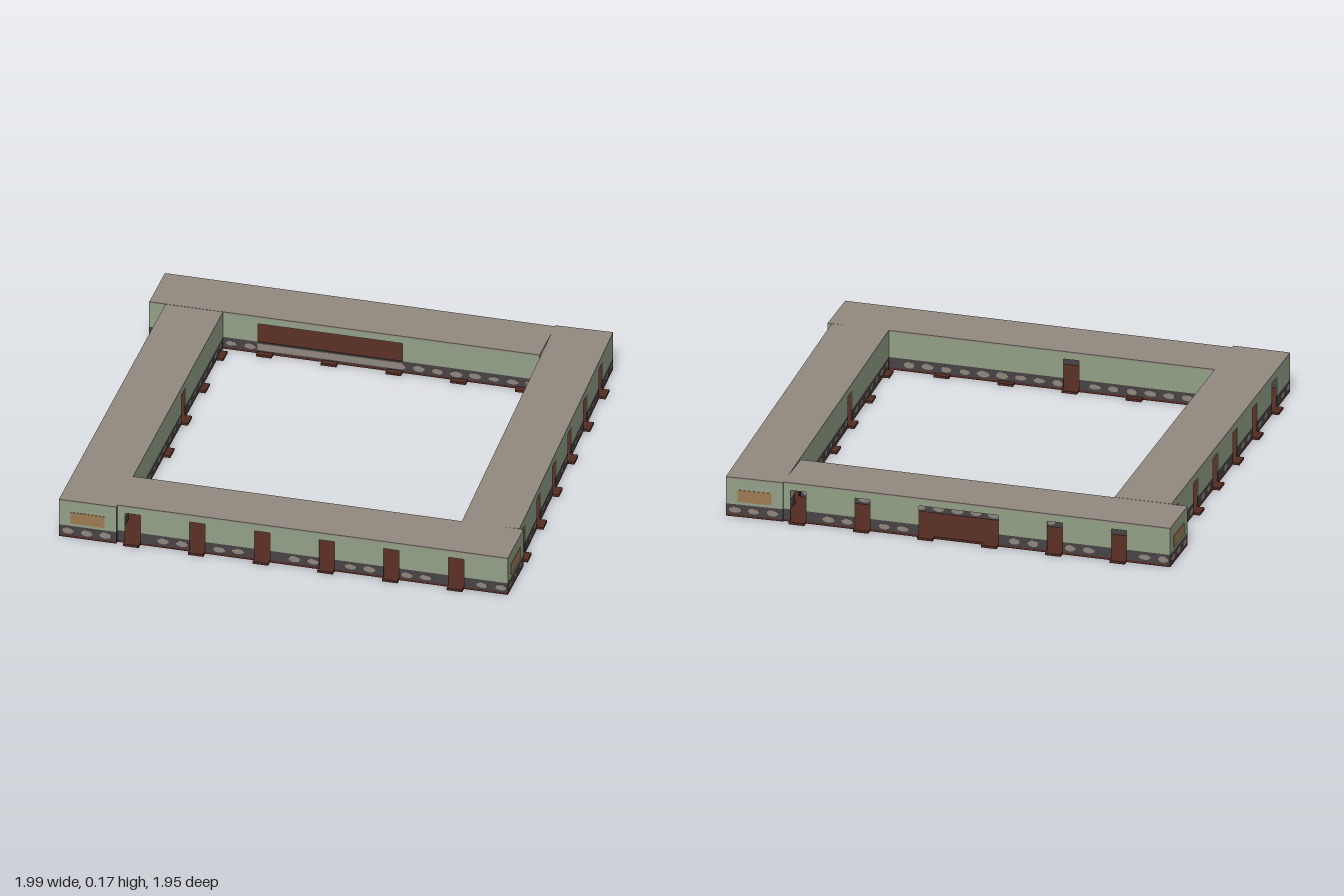
import * as THREE from 'three';

const mat = (name, color) => {
  const m = new THREE.MeshStandardMaterial({ color });
  m.name = name;
  return m;
};

const LEN = 1.665, HALF = 0.1225, T = 0.004;      // corridor length, half width, wall thickness
const FLOOR = 0.01, DADO = 0.055, DOOR_TOP = 0.14, TOP = 0.168, ROOF = 0.174;
const DOOR_W = 0.066;
const doorAt = (i) => 0.065 + i * 0.276;

export function createModel() {
  const green = mat('wall green', 0x93a188);
  const dark = mat('dado dark grey', 0x484445);
  const stone = mat('stone grey', 0x90877e);
  const roofMat = mat('roof taupe', 0x938a80);
  const floorMat = mat('floor brown', 0x532b22);
  const paint = mat('picture ochre', 0x9e7b52);
  const lampMat = mat('lamp white', 0xe6e2d2);

  let seed = 7;
  const rand = () => (seed = (seed * 16807) % 2147483647) / 2147483647;

  // Box given by its limits
  const box = (parent, name, m, x0, x1, y0, y1, z0, z1) => {
    const mesh = new THREE.Mesh(new THREE.BoxGeometry(x1 - x0, y1 - y0, z1 - z0), m);
    mesh.position.set((x0 + x1) / 2, (y0 + y1) / 2, (z0 + z1) / 2);
    mesh.name = name;
    parent.add(mesh);
    return mesh;
  };

  // Rounded stones set in the dark lower wall, showing on both faces
  const stoneGeo = new THREE.CylinderGeometry(1, 1, 1, 10).rotateX(Math.PI / 2);
  const addStones = (parent, length, openings) => {
    for (let x = 0.035; x < length - 0.025; x += 0.08) {
      const w = 0.022 + rand() * 0.006, h = 0.011 + rand() * 0.004;
      const y = 0.028 + rand() * 0.005;
      if (openings.some((o) => o.y0 < DADO && x + w > o.a && x - w < o.b)) continue;
      const s = new THREE.Mesh(stoneGeo, stone);
      s.scale.set(w, h, T + 0.003);
      s.position.set(x, y, 0);
      s.name = 'wallStone';
      parent.add(s);
    }
  };

  // Wall along x with openings { a, b, y0 }, sorted by a
  const makeWall = (name, length, openings) => {
    const g = new THREE.Group();
    g.name = name;
    const z = T / 2;
    let x = 0;
    for (const o of [...openings, { a: length, b: length, y0: FLOOR }]) {
      if (o.a > x) box(g, 'upperWall', green, x, o.a, DADO, TOP, -z, z);
      if (o.b > o.a) box(g, 'lintel', green, o.a, o.b, DOOR_TOP, TOP, -z, z);
      x = o.b;
    }
    x = 0;
    for (const o of [...openings.filter((q) => q.y0 < DADO), { a: length, b: length }]) {
      if (o.a > x) box(g, 'lowerWall', dark, x, o.a, FLOOR, DADO, -z, z);
      x = o.b;
    }
    addStones(g, length, openings);
    return g;
  };

  const door = (i) => ({ a: doorAt(i) - DOOR_W / 2, b: doorAt(i) + DOOR_W / 2, y0: FLOOR });
  const span = (i, a, b, y0) => ({ a: doorAt(i) - DOOR_W / 2, b, y0 });

  // One corridor: open at x = 0, closed at x = LEN, outer side at +z
  const makeCorridor = (name, outerOpenings, innerOpenings) => {
    const g = new THREE.Group();
    g.name = name;
    box(g, 'floor', floorMat, 0, LEN, 0, FLOOR, -HALF, HALF);
    box(g, 'roof', roofMat, 0, LEN, TOP, ROOF, -HALF, HALF);

    const outer = makeWall('outerWall', LEN, outerOpenings);
    outer.position.z = HALF - T / 2;
    const inner = makeWall('innerWall', LEN, innerOpenings);
    inner.position.z = -HALF + T / 2;
    const end = makeWall('endWall', HALF * 2 - T * 2, []);
    end.rotation.y = Math.PI / 2;
    end.position.set(LEN - T / 2, 0, HALF - T);
    g.add(outer, inner, end);

    // Picture on both faces of the end wall
    box(g, 'picture', paint, LEN - T - 0.003, LEN + 0.002, 0.067, 0.12, -0.072, 0.072);

    // Door sills on both sides
    for (let i = 0; i < 6; i++) {
      for (const s of [-1, 1]) {
        const sill = box(g, 'doorSill', floorMat, doorAt(i) - DOOR_W / 2, doorAt(i) + DOOR_W / 2,
          0, FLOOR, -0.014, 0.014);
        sill.position.z = s * (HALF + 0.014);
      }
    }

    // Ceiling lamps
    for (const x of [0.22, 0.63, 1.04, 1.45]) {
      box(g, 'ceilingLamp', lampMat, x - 0.06, x + 0.06, TOP - 0.006, TOP, -0.025, 0.025);
    }
    return g;
  };

  const model = new THREE.Group();
  model.name = 'corridorRing';
  const allDoors = [0, 1, 2, 3, 4, 5].map(door);
  const innerDoors = [door(2), door(5)];

  const place = (g, x, z, angle) => {
    g.position.set(x, 0, z);
    g.rotation.y = angle;
    model.add(g);
  };
  place(makeCorridor('frontCorridor', allDoors, innerDoors), -0.68, 0.8225, 0);
  place(makeCorridor('leftCorridor', allDoors, innerDoors), 0.845, 0.702, Math.PI / 2 + 0.033);
  place(makeCorridor('rightCorridor', allDoors, innerDoors), -0.8025, -0.703, -Math.PI / 2);

  // Back corridor: wide gateway outside, long serving window inside
  const gateway = span(2, 0, doorAt(3) + DOOR_W / 2, FLOOR);
  const windowGap = span(2, 0, doorAt(4) + DOOR_W / 2, DADO);
  const back = makeCorridor('backCorridor',
    [door(0), door(1), gateway, door(4), door(5)], [windowGap, door(5)]);
  box(back, 'windowApron', stone, windowGap.a, windowGap.b, 0.018, 0.05, -HALF - 0.004, -HALF);
  place(back, 0.67, -0.8275, Math.PI);

  return model;
}
